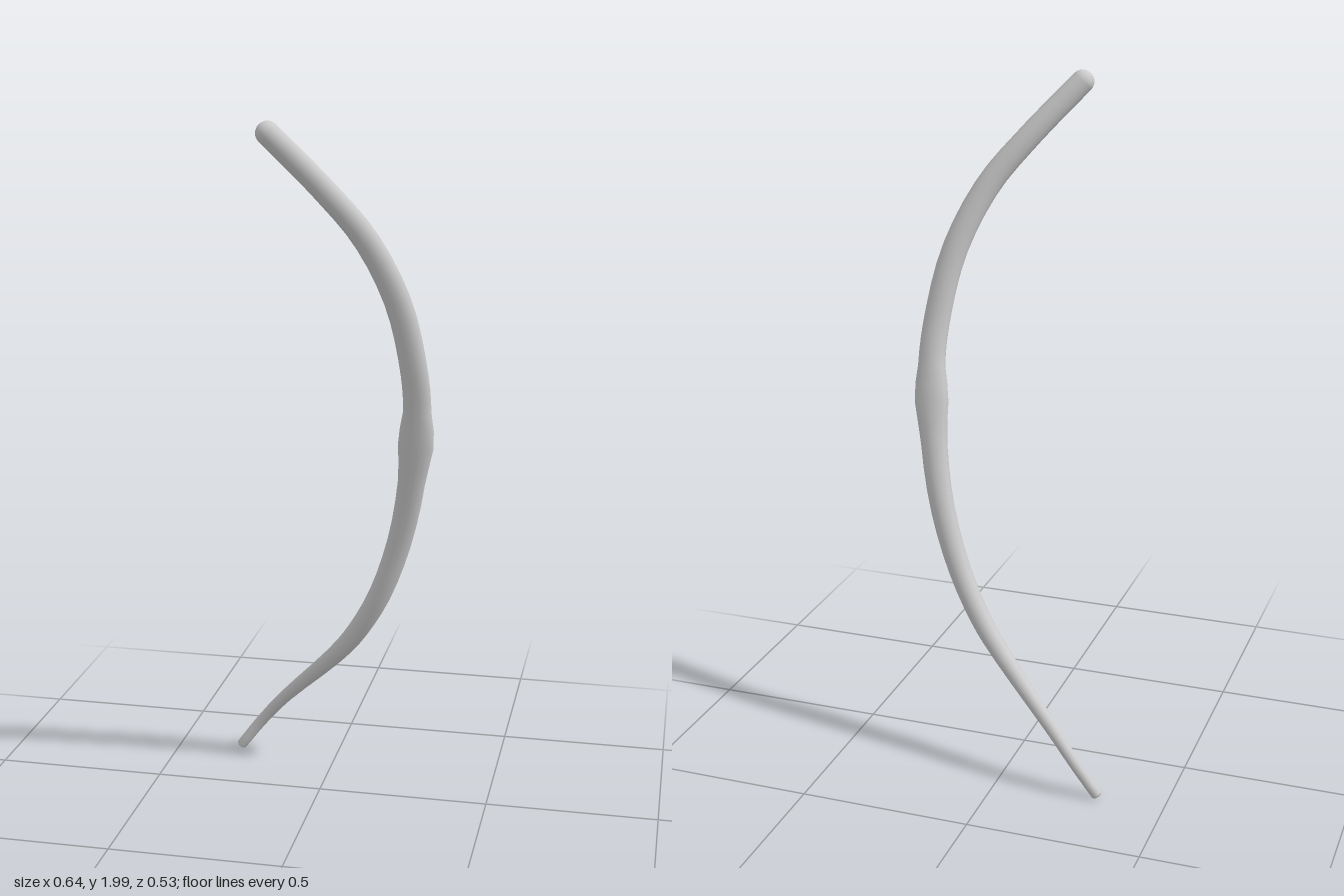
import * as THREE from 'three';

const SIDES = 14, STEPS = 44, CAP = 5;

// Centre line from top to bottom: x, y, z, half width across the bow, half thickness
const stations = [
  [-0.09, 1.966, 0.234, 0.033, 0.031],
  [0.045, 1.815, 0.167, 0.034, 0.031],
  [0.15, 1.68, 0.118, 0.036, 0.031],
  [0.232, 1.5, 0.064, 0.038, 0.031],
  [0.27, 1.31, 0.02, 0.039, 0.03],
  [0.277, 1.18, -0.012, 0.04, 0.03],
  [0.262, 1.0, -0.048, 0.04, 0.03],
  [0.222, 0.785, -0.09, 0.036, 0.029],
  [0.155, 0.59, -0.118, 0.033, 0.029],
  [0.075, 0.45, -0.147, 0.03, 0.027],
  [0.01, 0.37, -0.168, 0.027, 0.025],
  [-0.165, 0.19, -0.231, 0.019, 0.018],
  [-0.24, 0.1, -0.248, 0.017, 0.016],
  [-0.303, 0.016, -0.248, 0.016, 0.015],
];

function createShaftGeometry() {
  const path = new THREE.CatmullRomCurve3(stations.map(([x, y, z]) => new THREE.Vector3(x, y, z)));
  const sizes = new THREE.CatmullRomCurve3(stations.map(s => new THREE.Vector3(s[3], s[4], 0)));

  // Each ring: parameter along the path, offset past the end, scale of the section
  const rings = [];
  for (let i = 0; i < CAP; i++) {
    const a = (1 - i / CAP) * Math.PI / 2;
    rings.push([0, -0.032 * Math.sin(a), Math.cos(a)]); // rounded top end
  }
  for (let i = 0; i <= STEPS; i++) rings.push([i / STEPS, 0, 1]);
  rings.push([1, 0.005, 0.75], [1, 0.006, 0]); // blunt lower tip

  const positions = [], index = [];
  const zAxis = new THREE.Vector3(0, 0, 1);
  rings.forEach(([t, offset, scale], i) => {
    const tangent = path.getTangent(t);
    const centre = path.getPoint(t).addScaledVector(tangent, offset);
    const size = sizes.getPoint(t).multiplyScalar(scale);
    const across = zAxis.clone().cross(tangent).normalize();
    const thick = tangent.clone().cross(across);
    for (let j = 0; j < SIDES; j++) {
      const a = j / SIDES * Math.PI * 2;
      const p = centre.clone()
        .addScaledVector(across, Math.cos(a) * size.x)
        .addScaledVector(thick, Math.sin(a) * size.y);
      positions.push(p.x, p.y, p.z);
      if (i === rings.length - 1) continue;
      const k = (j + 1) % SIDES, r = i * SIDES, n = r + SIDES;
      index.push(r + j, r + k, n + j, r + k, n + k, n + j);
    }
  });

  const geometry = new THREE.BufferGeometry();
  geometry.setAttribute('position', new THREE.Float32BufferAttribute(positions, 3));
  geometry.setIndex(index);
  geometry.computeVertexNormals();
  return geometry;
}

export function createModel() {
  const group = new THREE.Group();
  group.name = 'curvedRib';
  const shaft = new THREE.Mesh(createShaftGeometry(), new THREE.MeshStandardMaterial({ color: 0xcccccc }));
  shaft.name = 'ribShaft';
  group.add(shaft);
  return group;
}
